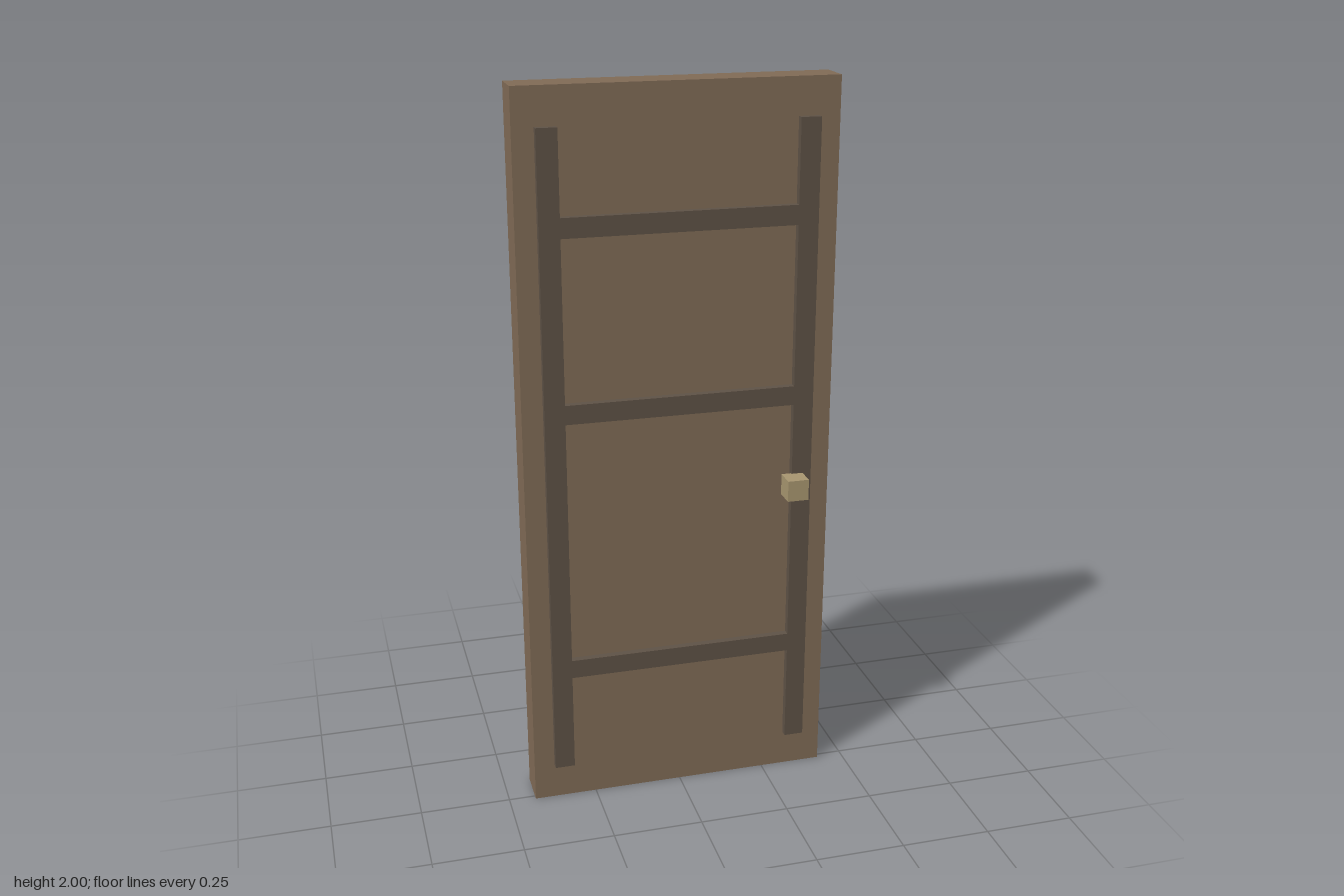
import * as THREE from 'three';

const wood = new THREE.MeshStandardMaterial({ name: 'brown wood', color: 0x806b56 });
const trim = new THREE.MeshStandardMaterial({ name: 'dark trim', color: 0x5e5246 });
const brass = new THREE.MeshStandardMaterial({ name: 'dull brass', color: 0xa89670 });

const BACK = -0.088, FACE = 0.014, TRIM_FRONT = 0.034, KNOB_FRONT = 0.088;

// Box spanning the given ranges on each axis
function box(name, material, [x0, x1], [y0, y1], [z0, z1]) {
  const mesh = new THREE.Mesh(new THREE.BoxGeometry(x1 - x0, y1 - y0, z1 - z0), material);
  mesh.name = name;
  mesh.position.set((x0 + x1) / 2, (y0 + y1) / 2, (z0 + z1) / 2);
  return mesh;
}

export function createModel() {
  const door = new THREE.Group();
  door.name = 'door';

  // Main slab
  door.add(box('slab', wood, [-0.426, 0.426], [0, 2], [BACK, FACE]));

  // Upright trim strips
  door.add(box('leftStile', trim, [0.314, 0.369], [0.104, 1.9], [FACE, TRIM_FRONT]));
  door.add(box('rightStile', trim, [-0.369, -0.314], [0.104, 1.9], [FACE, TRIM_FRONT]));

  // Cross rails between the stiles
  [['lowerRail', 0.411], ['middleRail', 1.157], ['upperRail', 1.65]].forEach(([name, y]) => {
    door.add(box(name, trim, [-0.314, 0.314], [y - 0.0265, y + 0.0265], [FACE, TRIM_FRONT]));
  });

  // Square knob
  door.add(box('knob', brass, [0.286, 0.345], [0.871, 0.93], [TRIM_FRONT - 0.005, KNOB_FRONT]));

  return door;
}
